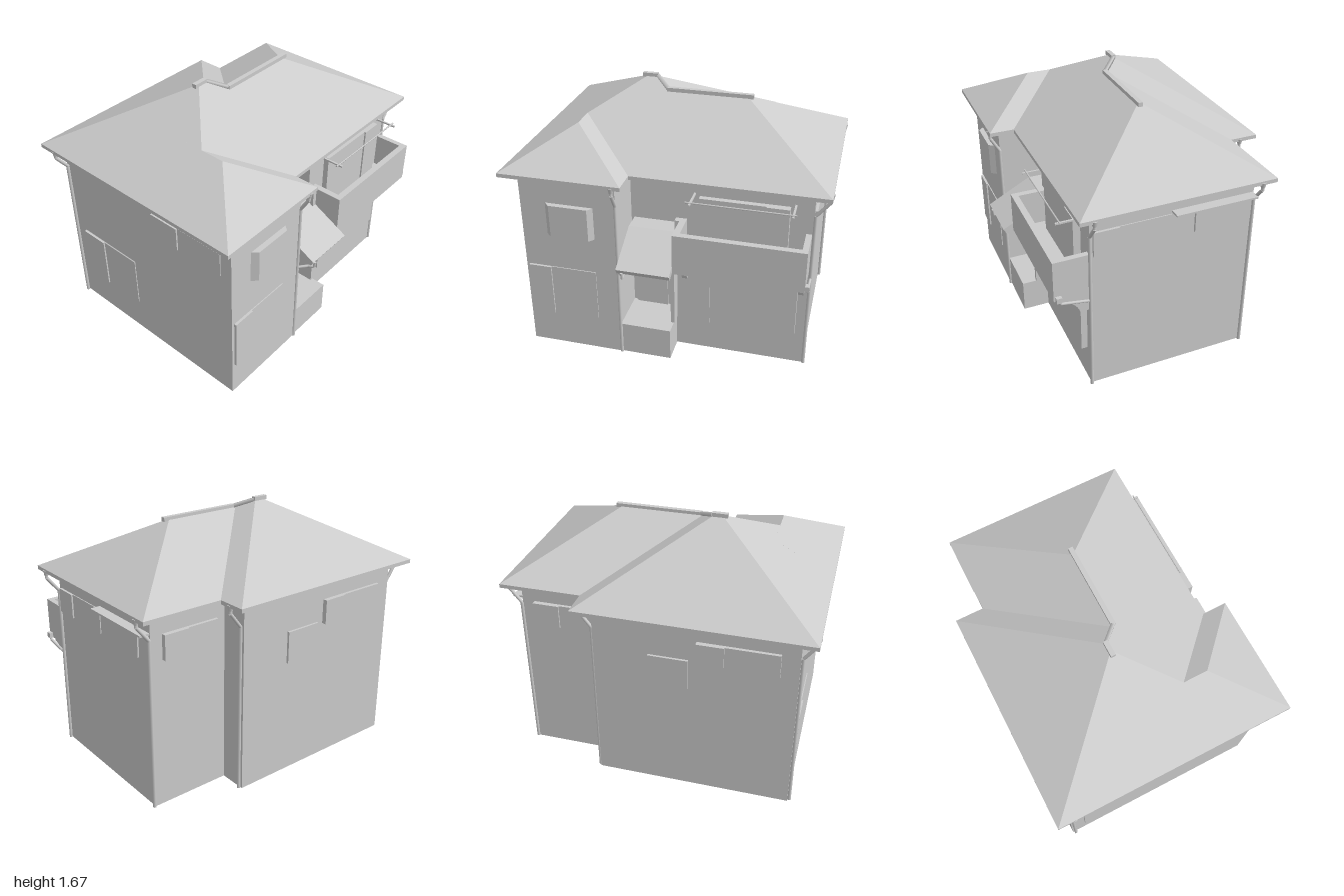
import * as THREE from 'three';
import { ConvexGeometry } from 'three/addons/geometries/ConvexGeometry.js';

const V = (x, y, z) => new THREE.Vector3(x, y, z);

export function createModel() {
  const house = new THREE.Group();
  house.name = 'house';
  const mat = new THREE.MeshStandardMaterial({ color: 0xcccccc });
  const shellMat = new THREE.MeshStandardMaterial({ color: 0xcccccc, side: THREE.DoubleSide });

  const add = (name, geo, m = mat) => {
    const mesh = new THREE.Mesh(geo, m);
    mesh.name = name;
    house.add(mesh);
    return mesh;
  };
  const box = (name, x0, x1, y0, y1, z0, z1) =>
    add(name, new THREE.BoxGeometry(Math.abs(x1 - x0), y1 - y0, Math.abs(z1 - z0)))
      .position.set((x0 + x1) / 2, (y0 + y1) / 2, (z0 + z1) / 2);
  // straight bar between two points
  const rod = (name, a, b, r, sides = 8) => {
    const d = b.clone().sub(a);
    const mesh = add(name, new THREE.CylinderGeometry(r, r, d.length(), sides));
    mesh.position.copy(a).addScaledVector(d, 0.5);
    mesh.quaternion.setFromUnitVectors(V(0, 1, 0), d.normalize());
  };
  const run = (name, pts, r) => {
    for (let i = 1; i < pts.length; i++) rod(name, pts[i - 1], pts[i], r);
  };
  // side profile of [z, y] points, extruded from x0 to x1
  const profile = (name, shape, x0, x1) => {
    const geo = new THREE.ExtrudeGeometry(shape, { depth: x1 - x0, bevelEnabled: false, curveSegments: 8 });
    geo.rotateY(-Math.PI / 2).translate(x1, 0, 0);
    add(name, geo);
  };

  // Walls: open ribbon around the footprint, with the entrance recess
  const plan = [[-0.9, 0.7], [-0.28, 0.7], [-0.28, 0.4], [0.05, 0.4], [0.05, 0.52], [0.89, 0.52],
    [0.89, -0.53], [0.36, -0.53], [0.36, -0.71], [-0.9, -0.71]];
  const pos = [];
  plan.forEach(([ax, az], i) => {
    const [bx, bz] = plan[(i + 1) % plan.length];
    pos.push(ax, 0, az, bx, 0, bz, bx, 1.245, bz, ax, 0, az, bx, 1.245, bz, ax, 1.245, az);
  });
  const wallGeo = new THREE.BufferGeometry();
  wallGeo.setAttribute('position', new THREE.Float32BufferAttribute(pos, 3));
  wallGeo.computeVertexNormals();
  add('walls', wallGeo, shellMat);

  // Roof: three interpenetrating hipped volumes with equal pitch
  const pitch = 0.546, eave = 1.265;
  const hip = (name, x0, x1, z0, z1, ridge, rise) => {
    const pts = [];
    for (const x of [x0, x1]) for (const z of [z0, z1]) pts.push(V(x, 1.24, z), V(x, eave, z));
    for (const [x, z] of ridge) pts.push(V(x, eave + rise * pitch, z));
    add(name, new ConvexGeometry(pts));
  };
  hip('mainRoof', -1, 0.46, -0.805, 0.61, [[-0.292, -0.0975], [-0.248, -0.0975]], 0.7075);
  hip('sideRoof', -0.3, 0.99, -0.62, 0.61, [[-0.3, -0.005], [0.375, -0.005]], 0.615);
  hip('frontRoof', -1, -0.22, 0, 0.77, [[-0.61, 0], [-0.61, 0.38]], 0.39);

  // Ridge caps
  box('ridgeCap', -0.14, 0.42, 1.588, 1.615, -0.015, 0.015);
  box('ridgeCap', -0.33, -0.23, 1.64, 1.667, -0.115, -0.085);
  rod('ridgeCap', V(-0.235, 1.65, -0.1), V(-0.135, 1.602, 0), 0.016, 4);

  // Windows: side by side panels on a wall; the shutter panel stands out further
  // cuts run along the wall, at is the wall plane, dir its outward sign
  const win = (name, axis, at, dir, y0, y1, cuts, t = 0.02, shutter = 0) => {
    for (let i = 0; i < cuts.length - 1; i++) {
      const out = at + dir * (t + (i === shutter ? 0.01 : 0));
      const inner = at - dir * 0.005;
      if (axis === 'z') box(name, cuts[i], cuts[i + 1], y0, y1, inner, out);
      else box(name, inner, out, y0, y1, cuts[i], cuts[i + 1]);
    }
  };
  win('frontLowerLeftWindow', 'z', 0.7, 1, 0.24, 0.6, [-0.88, -0.73, -0.43], 0.006);
  win('frontLowerWindow', 'z', 0.52, 1, 0.24, 0.6, [0.14, 0.28, 0.69, 0.83], 0.04);
  win('balconyDoor', 'z', 0.52, 1, 0.73, 1.14, [0.2, 0.61, 0.75], 0.035, 1);
  win('backCornerWindow', 'z', -0.53, -1, 0.96, 1.12, [0.42, 0.64, 0.81], 0.02, 1);
  win('backSmallWindow', 'z', -0.71, -1, 0.77, 0.98, [-0.24, 0.01], 0.015, -1);
  win('backLongWindow', 'z', -0.71, -1, 0.96, 1.12, [-0.79, -0.46, -0.29], 0.02, 1);
  win('sideFrontWindow', 'x', 0.89, 1, 0.96, 1.12, [0.01, 0.34, 0.5], 0.006, 1);
  win('sideBackWindow', 'x', 0.89, 1, 0.96, 1.12, [-0.52, -0.42, -0.14], 0.006, 1);
  win('farUpperWindow', 'x', -0.9, -1, 0.96, 1.12, [0.08, 0.29, 0.62], 0.006);
  win('farLowerWindow', 'x', -0.9, -1, 0.24, 0.6, [-0.61, -0.42, -0.13], 0.006);
  box('sideAwning', 0.88, 0.955, 1.13, 1.142, -0.525, 0.01);

  // Bay window with slanted cheeks
  const bay = [];
  for (const y of [0.845, 1.065])
    for (const [x, z] of [[-0.74, 0.695], [-0.42, 0.695], [-0.7, 0.735], [-0.452, 0.735]]) bay.push(V(x, y, z));
  add('bayWindow', new ConvexGeometry(bay));

  // Entrance: step, door, wing wall and sloping canopy
  box('entranceStep', -0.279, 0.05, 0, 0.22, 0.401, 0.695);
  box('doorFrame', -0.26, 0.04, 0.22, 0.63, 0.4, 0.41);
  box('frontDoor', -0.25, -0.04, 0.22, 0.58, 0.41, 0.42);
  box('wingWall', 0.03, 0.055, 0.22, 0.68, 0.41, 0.6);
  const slope = new THREE.Shape([[0.4, 0.68], [0.73, 0.705], [0.785, 0.68], [0.805, 0.715], [0.52, 0.865], [0.4, 0.865]]
    .map(([z, y]) => new THREE.Vector2(z, y)));
  profile('entranceCanopy', slope, -0.26, 0.079);

  // Balcony: floor, parapet and curved brackets
  box('balconyFloor', 0.08, 0.885, 0.7, 0.74, 0.5, 0.74);
  box('balconyFront', 0.08, 0.885, 0.74, 0.97, 0.7, 0.74);
  for (const [x0, x1] of [[0.08, 0.12], [0.85, 0.885]]) box('balconySide', x0, x1, 0.74, 0.97, 0.5, 0.7);
  box('balconyEnd', 0.05, 0.08, 0.83, 0.97, 0.41, 0.56);
  const bracket = new THREE.Shape();
  bracket.moveTo(0.52, 0.565);
  bracket.lineTo(0.575, 0.565);
  bracket.quadraticCurveTo(0.6, 0.65, 0.7, 0.67);
  bracket.lineTo(0.7, 0.705);
  bracket.lineTo(0.52, 0.705);
  for (const x of [0.1, 0.835]) profile('balconyBracket', bracket, x, x + 0.033);

  // Laundry pole on two arms
  rod('laundryPole', V(0.14, 1.16, 0.655), V(0.8, 1.16, 0.655), 0.005);
  for (const x of [0.17, 0.78]) box('poleArm', x - 0.006, x + 0.006, 1.148, 1.158, 0.51, 0.68);

  // Downpipes: hopper under the eave, swan neck, straight drop
  const downpipe = (hx, hz, px, pz) => {
    const hopper = add('rainHopper', new THREE.CylinderGeometry(0.02, 0.013, 0.035, 8));
    hopper.position.set(hx, 1.235, hz);
    run('downpipe', [V(hx, 1.22, hz), V(hx, 1.2, hz), V(px, 1.1, pz), V(px, 0, pz)], 0.011);
  };
  downpipe(0.978, 0.52, 0.898, 0.52);
  downpipe(0.978, -0.53, 0.898, -0.53);
  downpipe(0.447, -0.69, 0.37, -0.69);
  downpipe(-0.985, -0.69, -0.91, -0.69);
  downpipe(-0.28, 0.757, -0.28, 0.7);

  // Drains from the canopy and the balcony to the downpipes
  run('canopyDrain', [V(-0.225, 0.69, 0.795), V(-0.225, 0.648, 0.79), V(-0.235, 0.638, 0.75), V(-0.28, 0.628, 0.7)], 0.009);
  box('balconyOutlet', 0.88, 0.91, 0.7, 0.735, 0.695, 0.73);
  run('balconyDrain', [V(0.897, 0.71, 0.712), V(0.897, 0.685, 0.7), V(0.897, 0.655, 0.52)], 0.009);

  return house;
}
